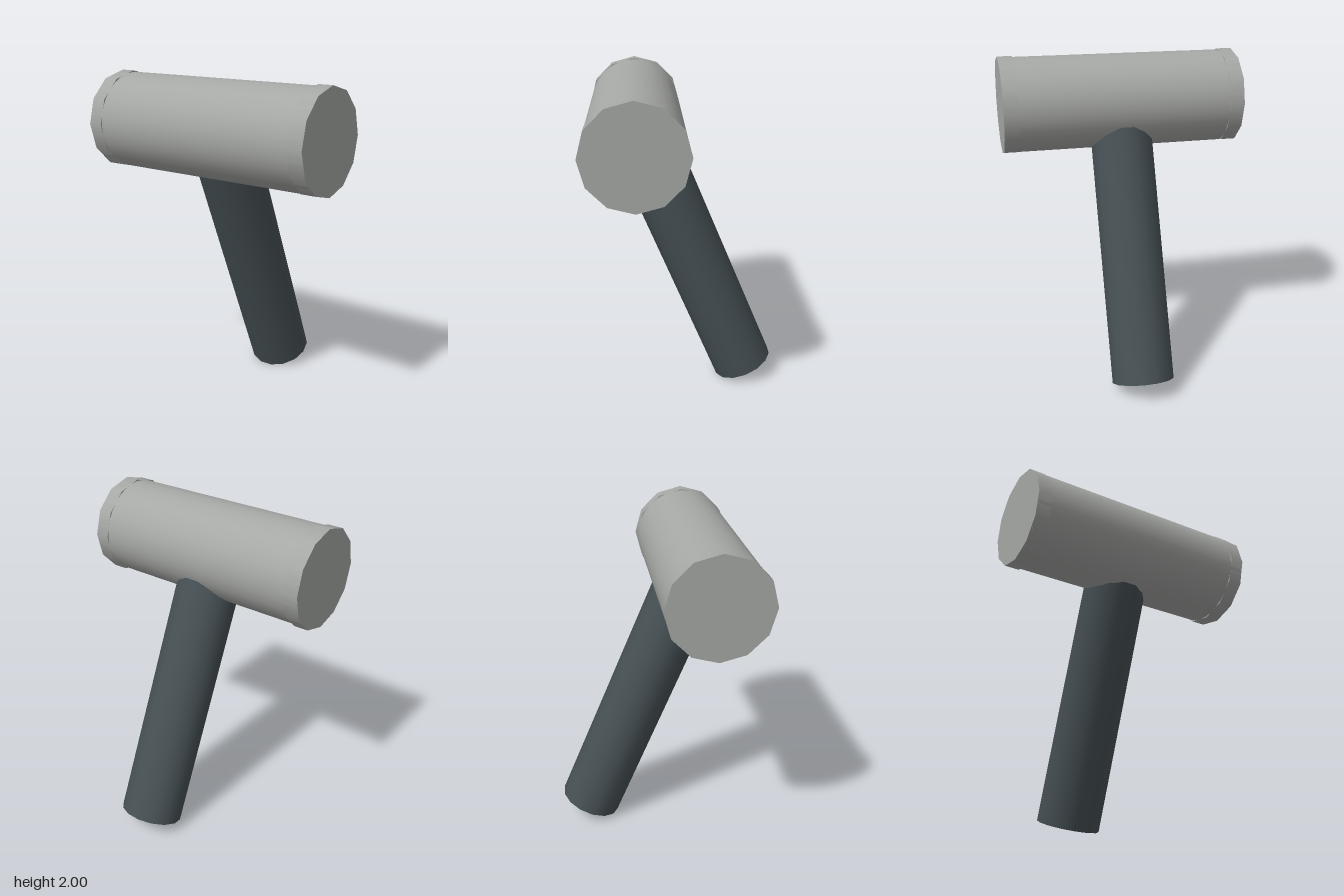
import * as THREE from 'three';

export function createModel() {
  const model = new THREE.Group();
  model.name = 'mallet';
  const headGrey = new THREE.MeshStandardMaterial({ name: 'head grey', color: 0xa6a8a5 });
  const handleSlate = new THREE.MeshStandardMaterial({ name: 'handle slate', color: 0x465054 });

  const add = (parent, name, geometry, material) => {
    const mesh = new THREE.Mesh(geometry, material);
    mesh.name = name;
    parent.add(mesh);
    return mesh;
  };

  // Head: round barrel along x with a twelve-sided band at each end
  const head = new THREE.Group();
  head.name = 'head';
  head.position.set(0, 1.702, 0.282);
  model.add(head);
  const barrel = add(head, 'barrel', new THREE.CylinderGeometry(0.289, 0.289, 1.46, 32), headGrey);
  barrel.rotation.z = Math.PI / 2;
  for (const side of [1, -1]) {
    const band = add(head, side > 0 ? 'leftBand' : 'rightBand',
      new THREE.CylinderGeometry(0.298, 0.298, 0.09, 12), headGrey);
    band.rotation.z = Math.PI / 2;
    band.position.x = side * 0.694;
  }

  // Handle: fourteen-sided shaft leaning forward into the middle of the head
  const length = 1.75;
  const shaft = new THREE.CylinderGeometry(0.195, 0.195, length, 14, 1, false, Math.PI / 2);
  shaft.translate(0, length / 2, 0);
  const handle = add(model, 'handle', shaft, handleSlate);
  handle.position.set(0, 0.073, -0.404);
  handle.rotation.x = Math.PI / 8;

  return model;
}
